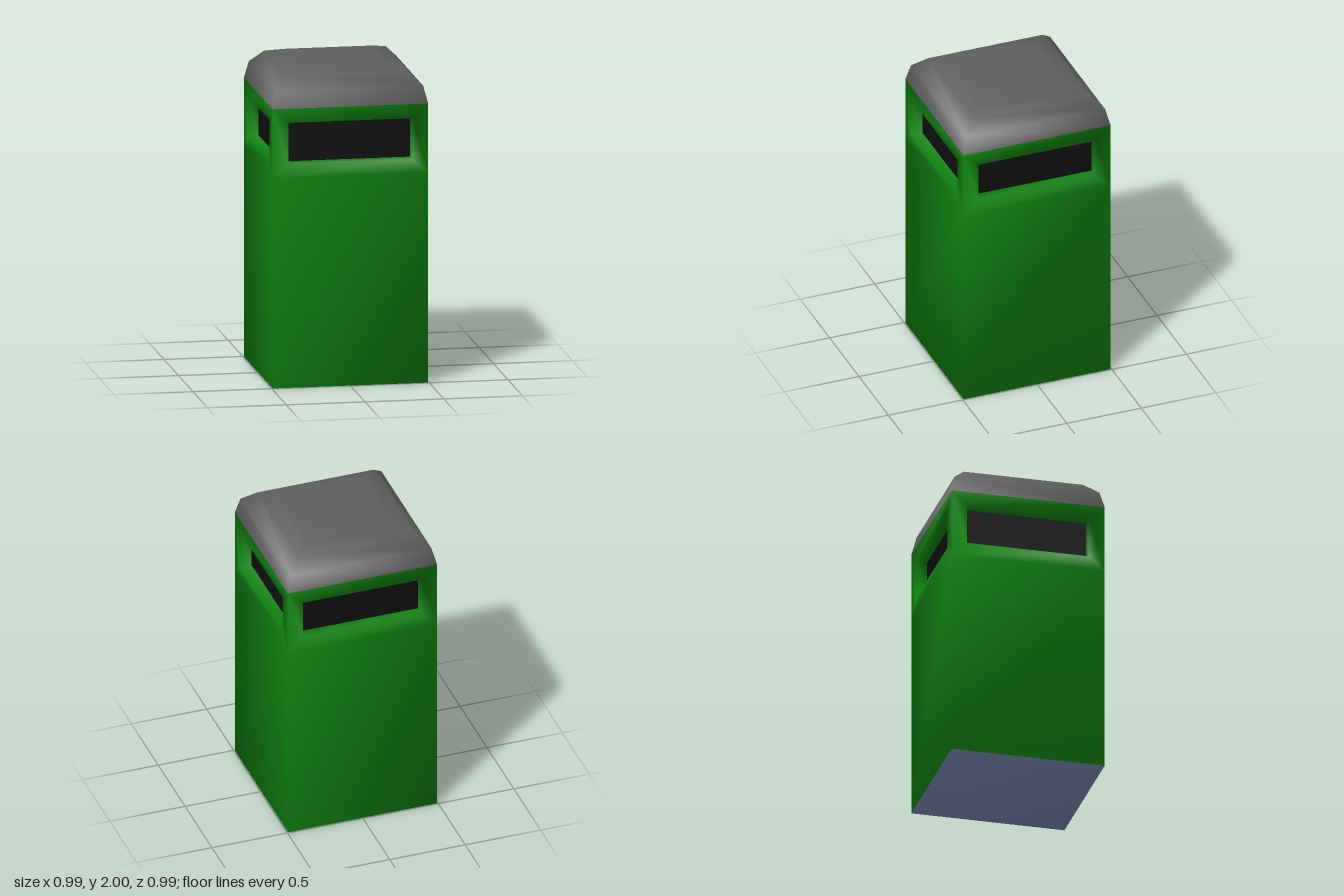
import * as THREE from 'three';
import { mergeVertices } from 'three/addons/utils/BufferGeometryUtils.js';

const HALF = 0.494;     // half width of the bin
const SHOULDER = 1.34;  // bottom of the frame around the slots
const RIM = 1.78;       // top of the body
const SLOT = { half: 0.394, bottom: 1.43, top: 1.69, depth: 0.075 };

const material = (name, color) => {
  const m = new THREE.MeshStandardMaterial({ color });
  m.name = name;
  return m;
};

// Counter-clockwise rectangle of four corners, facing +z
const rectangle = (half, bottom, top, z) => [
  [-half, bottom, z], [half, bottom, z], [half, top, z], [-half, top, z],
].map((p) => new THREE.Vector3(...p));

// Welded, smooth geometry from a list of quads
function quadGeometry(quads) {
  const points = quads.flatMap(([a, b, c, d]) => [a, b, c, a, c, d]);
  const geometry = mergeVertices(new THREE.BufferGeometry().setFromPoints(points));
  geometry.computeVertexNormals();
  return geometry;
}

export function createModel() {
  const green = material('green paint', 0x118411);
  const grey = material('grey lid', 0x606060);
  const black = material('black slot', 0x0e0e0e);
  const slate = material('slate base', 0x6c7ca2);

  const bin = new THREE.Group();
  bin.name = 'litterBin';
  const add = (name, geometry, mat) => {
    const mesh = new THREE.Mesh(geometry, mat);
    mesh.name = name;
    bin.add(mesh);
    return mesh;
  };

  // One side: lower wall, frame around the opening, and the recess walls
  const frame = rectangle(HALF, SHOULDER, RIM, HALF);
  const opening = rectangle(SLOT.half, SLOT.bottom, SLOT.top, HALF);
  const recess = rectangle(SLOT.half, SLOT.bottom, SLOT.top, HALF - SLOT.depth);
  const side = [rectangle(HALF, 0, SHOULDER, HALF)];
  for (let i = 0; i < 4; i++) {
    const j = (i + 1) % 4;
    side.push([frame[i], frame[j], opening[j], opening[i]]);
    side.push([opening[i], opening[j], recess[j], recess[i]]);
  }

  // Four sides turned about the centre, with a dark panel at the back of each slot
  const up = new THREE.Vector3(0, 1, 0);
  const body = [];
  for (let k = 0; k < 4; k++) {
    const angle = (k * Math.PI) / 2;
    for (const quad of side) body.push(quad.map((p) => p.clone().applyAxisAngle(up, angle)));
    add('slotPanel', quadGeometry([recess]), black).rotation.y = angle;
  }

  // Underside closes the body and shares its smoothing
  const sideCount = body.length * 6;
  body.push([[-1, -1], [1, -1], [1, 1], [-1, 1]]
    .map(([x, z]) => new THREE.Vector3(x * HALF, 0, z * HALF)));
  const bodyGeometry = quadGeometry(body);
  bodyGeometry.addGroup(0, sideCount, 0);
  bodyGeometry.addGroup(sideCount, 6, 1);
  add('bodyAndBase', bodyGeometry, [green, slate]);

  // Rounded square lid: a four-sided lathe, profile given in half widths
  const profile = [[HALF, RIM], [0.467, 1.89], [0.385, 1.97], [0.275, 2], [0, 2]]
    .map(([half, y]) => new THREE.Vector2(half * Math.SQRT2, y));
  add('lid', new THREE.LatheGeometry(profile, 4, Math.PI / 4), grey);

  return bin;
}
